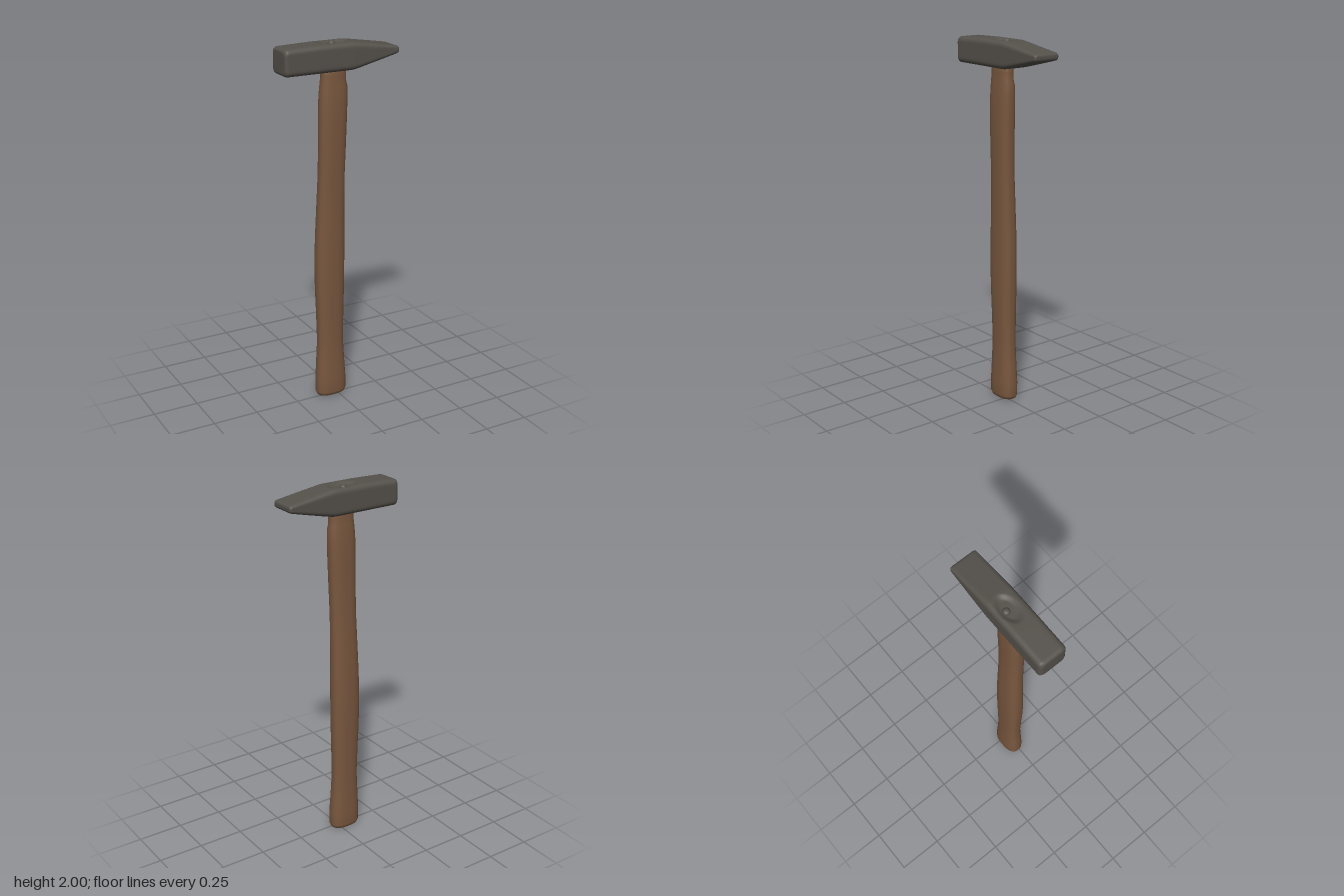
import * as THREE from 'three';

const { clamp, lerp } = THREE.MathUtils;

// Skin a list of equal-length rings and close both ends
function loft(rings) {
  const n = rings[0].length, pos = [], index = [];
  rings.forEach(r => r.forEach(p => pos.push(p.x, p.y, p.z)));
  for (let i = 0; i < rings.length - 1; i++) {
    for (let j = 0; j < n; j++) {
      const a = i * n + j, b = i * n + (j + 1) % n;
      index.push(a, b, a + n, b, b + n, a + n);
    }
  }
  const last = (rings.length - 1) * n;
  [0, last].forEach(start => {
    const c = new THREE.Vector3();
    rings[start / n].forEach(p => c.addScaledVector(p, 1 / n));
    const k = pos.length / 3;
    pos.push(c.x, c.y, c.z);
    for (let j = 0; j < n; j++) {
      const a = start + j, b = start + (j + 1) % n;
      if (start) index.push(k, a, b); else index.push(k, b, a);
    }
  });
  const g = new THREE.BufferGeometry();
  g.setAttribute('position', new THREE.Float32BufferAttribute(pos, 3));
  g.setIndex(index);
  g.computeVertexNormals();
  return g;
}

// Oval grip: y, xMin, xMax, zMin, zMax
function handleGeometry() {
  const stations = [
    [0.0, -0.10, 0.03, -0.05, 0.022],
    [0.006, -0.116, 0.045, -0.06, 0.034],
    [0.025, -0.123, 0.053, -0.067, 0.041],
    [0.1, -0.123, 0.053, -0.067, 0.041],
    [0.2, -0.118, 0.046, -0.064, 0.037],
    [0.33, -0.111, 0.038, -0.062, 0.034],
    [0.5, -0.116, 0.04, -0.064, 0.037],
    [0.65, -0.122, 0.043, -0.066, 0.04],
    [0.8, -0.124, 0.044, -0.066, 0.041],
    [0.95, -0.12, 0.044, -0.064, 0.041],
    [1.1, -0.114, 0.042, -0.058, 0.041],
    [1.3, -0.107, 0.041, -0.049, 0.044],
    [1.45, -0.106, 0.045, -0.046, 0.049],
    [1.6, -0.106, 0.05, -0.046, 0.052],
    [1.7, -0.104, 0.053, -0.044, 0.051],
    [1.765, -0.1, 0.053, -0.04, 0.048],
    [1.79, -0.097, 0.046, -0.037, 0.046],
    [1.83, -0.094, 0.045, -0.034, 0.045],
    [1.9, -0.092, 0.045, -0.034, 0.045],
  ];
  const power = v => Math.sign(v) * Math.abs(v) ** 0.8;
  return loft(stations.map(([y, x0, x1, z0, z1]) =>
    Array.from({ length: 48 }, (_, j) => {
      const t = j / 48 * Math.PI * 2;
      return new THREE.Vector3(
        (x0 + x1) / 2 + power(Math.cos(t)) * (x1 - x0) / 2, y,
        (z0 + z1) / 2 - power(Math.sin(t)) * (z1 - z0) / 2);
    })));
}

// Rounded rectangle around the x axis, sampled evenly along its sides
function headRing(x, y0, y1, depth, radius) {
  const h = (y1 - y0) / 2, r = Math.min(radius, h * 0.8), side = 18, ring = [];
  const corners = [[1, 1], [1, -1], [-1, -1], [-1, 1]]; // z, y
  corners.forEach(([z, y], c) => {
    const [zn, yn] = corners[(c + 1) % 4];
    for (let j = 0; j < side; j++) {
      const pz = lerp(z, zn, j / side) * depth, py = lerp(y, yn, j / side) * h;
      const qz = clamp(pz, r - depth, depth - r), qy = clamp(py, r - h, h - r);
      const len = Math.hypot(pz - qz, py - qy);
      ring.push(new THREE.Vector3(x,
        (y0 + y1) / 2 + qy + (py - qy) / len * r, qz + (pz - qz) / len * r));
    }
  });
  return ring;
}

// Square poll on the left, tapering to a flat wedge on the right
function headGeometry() {
  const xs = [-0.33, -0.329, -0.326, -0.321, -0.315];
  for (let i = 0; i <= 62; i++) xs.push(-0.308 + i * 0.01);
  xs.push(0.318, 0.323, 0.327, 0.329, 0.33);
  const rings = xs.map(x => {
    const s = clamp((x - 0.05) / 0.28, 0, 1);
    const ease = s * s / (s + 0.08) * 1.08;
    const R = x < 0 ? 0.02 : 0.013;
    const d = Math.min(0.33 - Math.abs(x), R);
    const inset = R - Math.sqrt(R * R - (R - d) ** 2);
    const top = lerp(lerp(1.99, 1.996, clamp((x + 0.33) / 0.2, 0, 1)), 1.953, ease);
    const bottom = lerp(1.853, 1.918, ease);
    return headRing(x, bottom + inset * 0.85, top - inset * 0.85,
      lerp(0.079, 0.077, s) - inset, lerp(0.026, 0.015, s));
  });
  // Shallow oval hollow around the eye
  rings.flat().forEach(p => {
    const q = Math.hypot((p.x + 0.02) / 0.085, (p.z + 0.008) / 0.05);
    if (p.y > 1.96 && q < 1) p.y -= 0.012 * Math.min(1, (1 - q) * 3);
  });
  return loft(rings);
}

export function createModel() {
  const model = new THREE.Group();
  model.name = 'hammer';
  const steel = new THREE.MeshStandardMaterial({ color: 0x55514b });
  steel.name = 'dark steel';
  const wood = new THREE.MeshStandardMaterial({ color: 0x78573e });
  wood.name = 'brown wood';

  const add = (name, geometry, material) => {
    const mesh = new THREE.Mesh(geometry, material);
    mesh.name = name;
    model.add(mesh);
    return mesh;
  };
  add('handle', handleGeometry(), wood);
  add('head', headGeometry(), steel);

  // Small wedge pin in the eye
  const pin = add('wedgePin', new THREE.SphereGeometry(0.02, 20, 12), steel);
  pin.scale.y = 0.8;
  pin.position.set(-0.02, 1.984, -0.022);
  return model;
}
